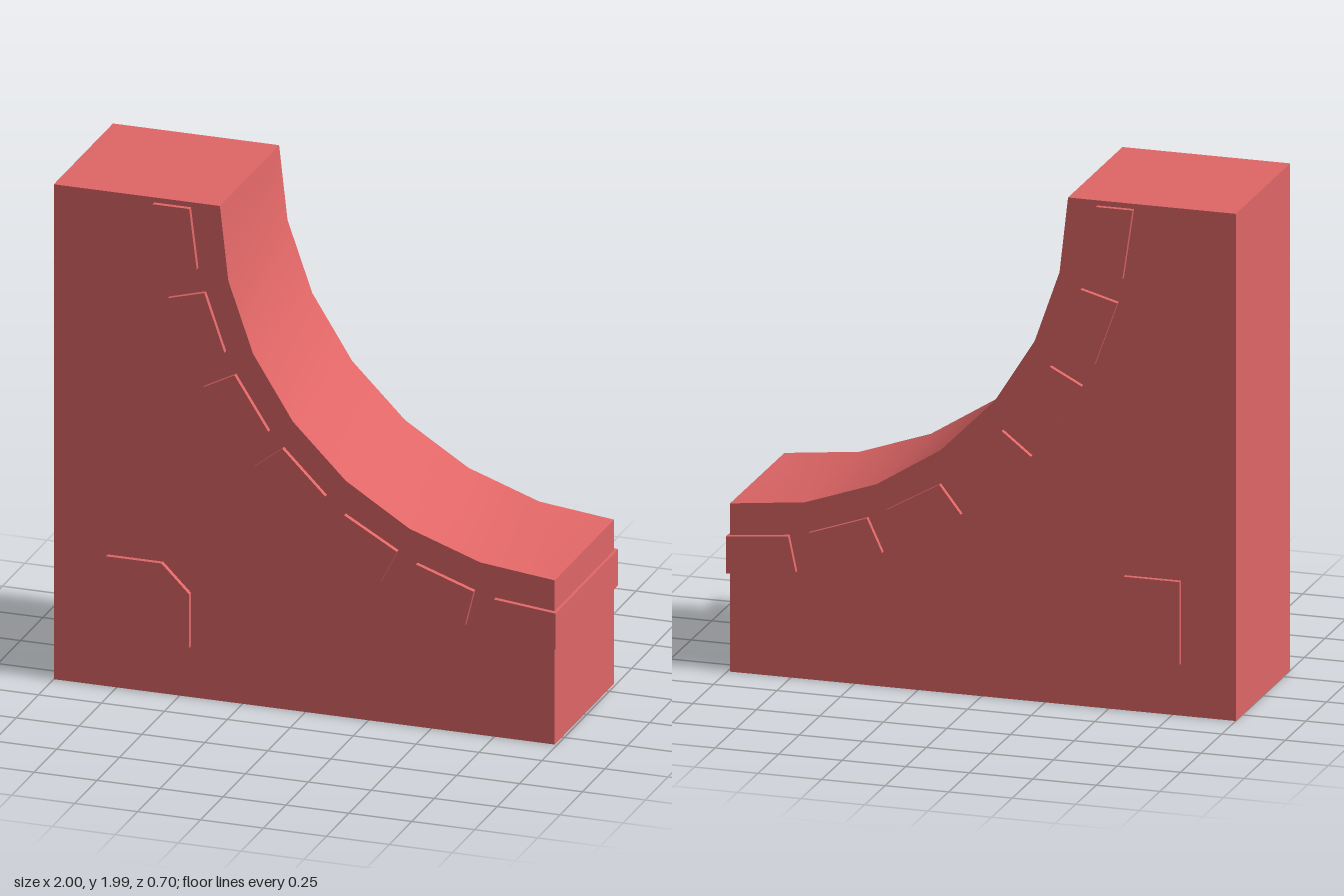
import * as THREE from 'three';
import { toCreasedNormals } from 'three/addons/utils/BufferGeometryUtils.js';

const material = new THREE.MeshStandardMaterial({ color: 0xe06666 });

// Extrude an x-y outline through the width, centred on z = 0
function slab(name, points, width) {
  const shape = new THREE.Shape(points.map(([x, y]) => new THREE.Vector2(x, y)));
  const geometry = new THREE.ExtrudeGeometry(shape, { depth: width, bevelEnabled: false });
  geometry.translate(0, 0, -width / 2);
  const mesh = new THREE.Mesh(toCreasedNormals(geometry, 0.5), material);
  mesh.name = name;
  return mesh;
}

export function createModel() {
  const group = new THREE.Group();
  group.name = 'curvedSlope';

  // Body with a concave quarter-circle slope in seven steps
  const right = 0.99, top = 1.99, radius = 1.33, steps = 7;
  const outline = [[right, 0], [-1, 0], [-1, top]];
  for (let i = 0; i <= steps; i++) {
    const a = (i / steps) * Math.PI / 2;
    outline.push([right - radius * Math.cos(a), top - radius * Math.sin(a)]);
  }
  group.add(slab('body', outline, 0.66));

  // Row of stones following the slope, standing proud on both sides
  const stones = [
    [[-0.6, 1.97], [-0.455, 1.97], [-0.425, 1.73], [-0.56, 1.695]],
    [[-0.54, 1.6], [-0.395, 1.64], [-0.315, 1.41], [-0.45, 1.35]],
    [[-0.4, 1.26], [-0.275, 1.325], [-0.14, 1.115], [-0.255, 1.03]],
    [[-0.2, 0.965], [-0.085, 1.055], [0.085, 0.885], [-0.005, 0.77]],
    [[0.16, 0.82], [0.37, 0.7], [0.305, 0.57], [0.075, 0.71]],
    [[0.445, 0.66], [0.675, 0.58], [0.64, 0.44], [0.385, 0.53]],
    [[0.755, 0.56], [1, 0.535], [1, 0.39], [0.725, 0.42]],
  ];
  stones.forEach((points, i) => group.add(slab(`stone${i + 1}`, points, 0.7)));

  // Clipped-corner stone near the foot
  group.add(slab('cornerStone',
    [[-0.785, 0.53], [-0.565, 0.53], [-0.455, 0.42], [-0.455, 0.205], [-0.785, 0.205]], 0.7));

  return group;
}
